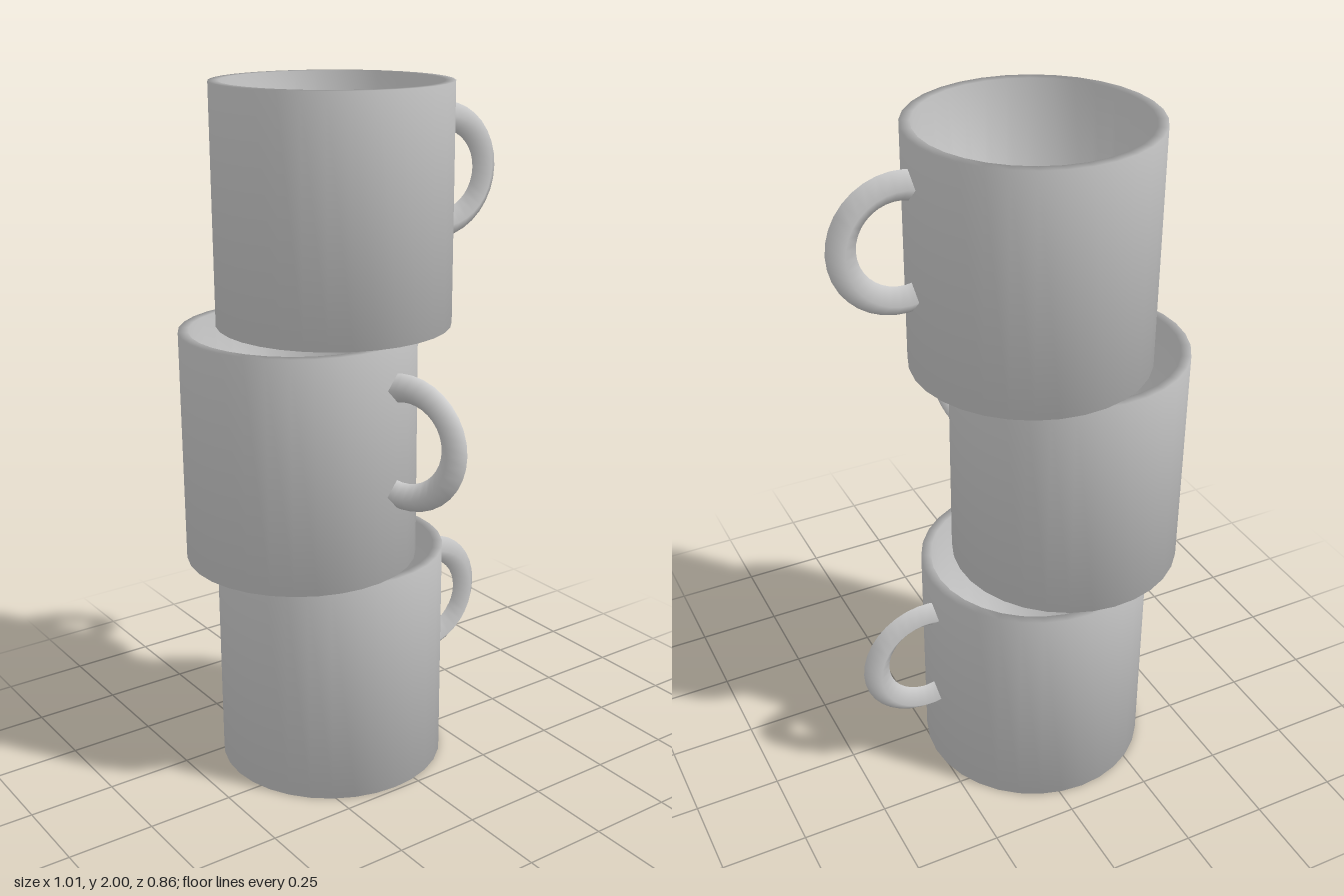
import * as THREE from 'three';

const HEIGHT = 2 / 3, RADIUS = 0.333, WALL = 0.028;

export function createModel() {
  const group = new THREE.Group();
  group.name = 'stackedMugs';
  const material = new THREE.MeshStandardMaterial({ color: 0xcccccc });

  // Hollow body: underside, outer wall, rim, inner wall, floor
  const inner = RADIUS - WALL;
  const profile = [
    [0, 0], [RADIUS, 0], [RADIUS, HEIGHT],
    [inner, HEIGHT], [inner, WALL], [0, WALL],
  ].map(([x, y]) => new THREE.Vector2(x, y));
  const bodyGeometry = new THREE.LatheGeometry(profile, 32);

  // Handle: a smooth-shaded diamond-section ring arc whose ends sink into the wall
  const arc = Math.PI * 1.17;
  const handleGeometry = new THREE.TorusGeometry(0.155, 0.04, 4, 20, arc);
  handleGeometry.rotateZ(-arc / 2);
  handleGeometry.translate(0.36, 0.397, 0);

  // Three mugs from the bottom up, each shifted and turned
  const mugs = [
    { name: 'bottomMug', x: -0.073, turn: 0 },
    { name: 'middleMug', x: -0.173, turn: -1.23 },
    { name: 'topMug', x: -0.053, turn: -0.055 },
  ];
  mugs.forEach(({ name, x, turn }, i) => {
    const mug = new THREE.Group();
    mug.name = name;
    const body = new THREE.Mesh(bodyGeometry, material);
    body.name = 'body';
    const handle = new THREE.Mesh(handleGeometry, material);
    handle.name = 'handle';
    mug.add(body, handle);
    mug.position.set(x, i * HEIGHT, -0.096);
    mug.rotation.y = turn;
    group.add(mug);
  });
  return group;
}
